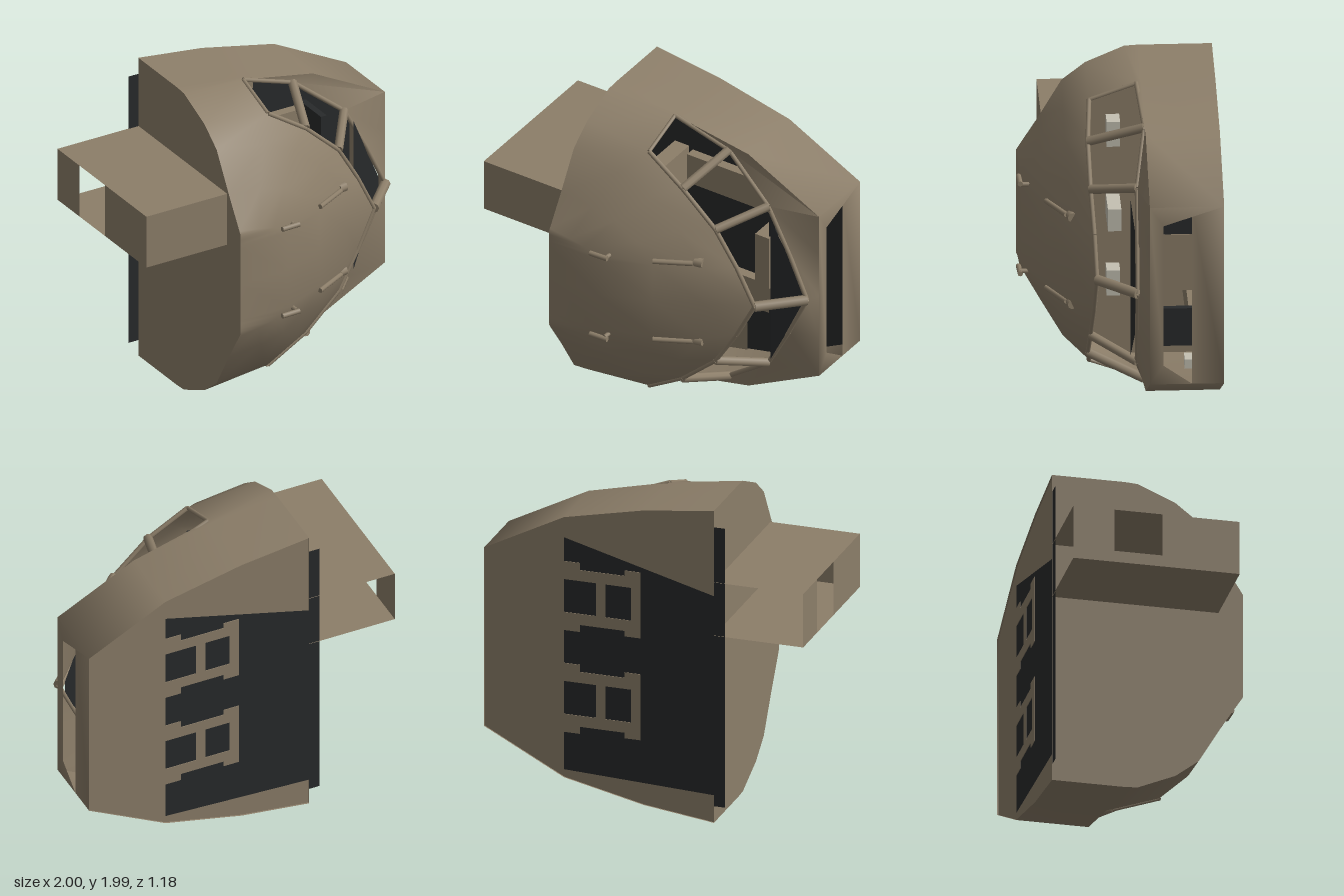
import * as THREE from 'three';
import { toCreasedNormals } from 'three/addons/utils/BufferGeometryUtils.js';

export function createModel() {
  const model = new THREE.Group();
  const material = (name, color) => {
    const m = new THREE.MeshStandardMaterial({ color, side: THREE.DoubleSide });
    m.name = name;
    return m;
  };
  const tan = material('tan paint', 0x8c7e69);
  const dark = material('charcoal', 0x282a2b);
  const pale = material('pale trim', 0xc4c0b2);

  const add = (name, geometry, mat, pos) => {
    const mesh = new THREE.Mesh(geometry, mat);
    mesh.name = name;
    if (pos) mesh.position.set(...pos);
    model.add(mesh);
    return mesh;
  };
  const box = (name, mat, x0, x1, y0, y1, z0, z1) =>
    add(name, new THREE.BoxGeometry(x1 - x0, y1 - y0, z1 - z0), mat,
      [(x0 + x1) / 2, (y0 + y1) / 2, (z0 + z1) / 2]);
  const surface = (points, index) => {
    const g = new THREE.BufferGeometry();
    g.setAttribute('position', new THREE.Float32BufferAttribute(points.flat(), 3));
    g.setIndex(index);
    g.computeVertexNormals();
    return g;
  };
  // flat polygon, triangulated in the plane of the two given axes
  const plate = (name, mat, points, a, b) => {
    const flat = points.map(p => new THREE.Vector2(p[a], p[b]));
    add(name, surface(points, THREE.ShapeUtils.triangulateShape(flat, []).flat()), mat);
  };
  const bar = (name, mat, from, to, r, sides = 8) => {
    const p = new THREE.Vector3(...from), q = new THREE.Vector3(...to);
    const d = q.clone().sub(p);
    const mesh = add(name, new THREE.CylinderGeometry(r, r, d.length(), sides), mat);
    mesh.position.copy(p).add(q).multiplyScalar(0.5);
    mesh.quaternion.setFromUnitVectors(new THREE.Vector3(0, 1, 0), d.normalize());
  };

  // half cross-sections [x, distance from the centre plane, z], nose to tail
  const aft = z => [[1, 0, z], [1, 0.3, z], [1, 0.57, z], [0.5, 0.83, z], [0, 0.94, z], [-0.44, 0.995, z]];
  const nose = [[-0.1, 0, 0.555], [-0.1, 0.25, 0.555], [-0.14, 0.28, 0.555],
    [-0.2, 0.31, 0.56], [-0.3, 0.33, 0.56], [-0.44, 0.35, 0.56]];
  const chin = nose.map(([, s]) => [-0.44, s * 0.95, 0.57]);
  const cheek = [[0.2, 0, 0.425], [0.2, 0.25, 0.425], [0.09, 0.38, 0.43],
    [-0.06, 0.48, 0.44], [-0.22, 0.52, 0.44], [-0.44, 0.54, 0.44]];
  const brow = [[0.47, 0, 0.29], [0.47, 0.25, 0.29], [0.3, 0.46, 0.3],
    [0.1, 0.63, 0.31], [-0.12, 0.73, 0.31], [-0.44, 0.78, 0.3]];
  const sill = [[0.74, 0, 0.15], [0.62, 0.24, 0.16], [0.48, 0.47, 0.175],
    [0.25, 0.68, 0.18], [0, 0.84, 0.16], [-0.44, 0.89, 0.16]];
  const lintel = [[0.96, 0, -0.08], [0.83, 0.28, -0.085], [0.68, 0.56, -0.09],
    [0.36, 0.81, -0.15], [0, 0.94, -0.12], [-0.44, 0.99, -0.07]];
  const at = ([x, s, z], m) => [x, 1 + s * m, z];
  const whole = half => [...half.slice(1).reverse().map(p => at(p, -1)), ...half.map(p => at(p, 1))];
  const rings = [chin, nose, cheek, brow, sill, lintel, aft(-0.15), aft(-0.59)].map(whole);

  // skin with an open window band and a hatch opening in the roof
  const index = [], n = 11;
  for (let j = 0; j < rings.length - 1; j++) {
    for (let k = 0; k < n - 1; k++) {
      const windowCell = j === 4 && k > 0 && k < 9;
      const roofCell = j === 6 && k > 2 && k < 7;
      if (windowCell || roofCell) continue;
      const a = j * n + k, b = a + 1, c = a + n, d = c + 1;
      index.push(a, c, b, b, c, d);
    }
  }
  const hatch = [[1, 0.55, -0.23], [1, 1.45, -0.23], [1, 1.57, -0.4], [1, 0.43, -0.4]];
  const roof = [6 * n + 3, 6 * n + 7, 7 * n + 7, 7 * n + 3];
  const first = rings.length * n;
  for (let i = 0; i < 4; i++) {
    const k = (i + 1) % 4;
    index.push(roof[i], first + i, roof[k], roof[k], first + i, first + k);
  }
  add('hullSkin', toCreasedNormals(surface([...rings.flat(), ...hatch], index), 1.2), tan);
  plate('hullUnderside', tan, [...rings.map(r => r[10]), ...rings.map(r => r[0]).reverse()], 2, 1);

  // window frames
  bar('windscreenPost', tan, at(sill[0], 1), at(lintel[0], 1), 0.032);
  for (const m of [-1, 1]) {
    for (const i of [2, 3]) bar('windowPost', tan, at(sill[i], m), at(lintel[i], m), 0.028);
    bar('windowPost', tan, at(sill[4], m), at(lintel[4], m), 0.012);
    for (let i = 0; i < 4; i++) {
      bar('windowSill', tan, at(sill[i], m), at(sill[i + 1], m), 0.014);
      bar('windowLintel', tan, at(lintel[i], m), at(lintel[i + 1], m), 0.014);
    }
  }
  // dark overhead panel behind the windscreen
  plate('overheadPanel', dark, [[0.72, 0.5, -0.05], [0.93, 0.96, -0.11], [0.93, 1.04, -0.11],
    [0.72, 1.5, -0.05]], 0, 1);

  // rear bulkhead: tan cap, dark outer panel, dark inner lining
  plate('rearCap', tan, rings[7].map(([x, y]) => [x, y, -0.58]).reverse(), 0, 1);
  plate('innerLining', dark, rings[7].map(([x, y]) => [x * 0.97, 1 + (y - 1) * 0.97, -0.5]), 0, 1);
  plate('rearPanel', dark, [[0.5, 0.22], [0.5, 1.7], [-0.44, 1.45], [-0.44, 1.89], [-0.51, 1.89],
    [-0.51, 0.11], [-0.44, 0.11], [-0.44, 0.18]].map(([x, y]) => [x, y, -0.586]), 0, 1);
  for (const y of [0.68, 1.33]) {
    // tan bracket plates on the rear panel
    for (const s of [-1, 1]) {
      box('bracketRail', tan, 0.02, 0.5, y + s * 0.14 - 0.035, y + s * 0.14 + 0.035, -0.59, -0.586);
      box('bracketFoot', tan, 0.4, 0.5, y + s * 0.17 - 0.05, y + s * 0.17 + 0.05, -0.59, -0.586);
      box('bracketEar', tan, 0.02, 0.12, y + s * 0.17 - 0.04, y + s * 0.17 + 0.04, -0.59, -0.586);
    }
    for (const x of [0.02, 0.24]) box('bracketCross', tan, x, x + 0.06, y - 0.13, y + 0.13, -0.59, -0.586);
  }

  // side duct, open at the rear and with a gap in its outer wall
  const wall = (name, pts, a, b) => plate(name, tan, pts, a, b);
  for (const y of [1.2, 1.54]) {
    wall('ductSide', [[-1, y, -0.59], [-1, y, 0.42], [-0.44, y, 0.42], [-0.44, y, -0.59]], 0, 2);
  }
  wall('ductFront', [[-1, 1.2, 0.42], [-0.44, 1.2, 0.42], [-0.44, 1.54, 0.42], [-1, 1.54, 0.42]], 0, 1);
  for (const [z0, z1] of [[-0.59, -0.34], [-0.05, 0.42]]) {
    wall('ductOuterWall', [[-1, 1.2, z0], [-1, 1.2, z1], [-1, 1.54, z1], [-1, 1.54, z0]], 2, 1);
  }

  // nose probes and small fairings
  for (const m of [-1, 1]) {
    const y = 1 + 0.28 * m;
    bar('noseProbe', tan, [-0.15, y + 0.01 * m, 0.57], [-0.03, y + 0.01 * m, 0.565], 0.016);
    bar('probeStem', tan, [-0.05, y, 0.5], [-0.05, y, 0.565], 0.014);
    bar('browProbe', tan, [0.2, y, 0.425], [0.41, y, 0.315], 0.016);
    bar('browFairing', tan, [0.41, y, 0.29], [0.46, y, 0.28], 0.03);
  }

  // cabin: seats, side linings, instrument panel and console
  for (const m of [-1, 1]) {
    const y = 1 + 0.36 * m;
    box('seatCushion', tan, -0.2, -0.1, y - 0.15, y + 0.15, -0.42, -0.16);
    box('seatBack', tan, -0.1, 0.6, y - 0.1, y + 0.1, -0.46, -0.4);
    box('headrest', dark, 0.6, 0.64, y - 0.12, y + 0.12, -0.46, -0.22);
    plate('sideLining', tan, [[-0.4, 0.65], [0.28, 0.65], [0.28, 0.84], [0, 0.9], [-0.4, 0.94]]
      .map(([x, s]) => [x, 1 + s * m, -0.47]), 0, 1);
    box('sidePocket', pale, 0.04, 0.14, 1 + m * 0.82 - 0.03, 1 + m * 0.82 + 0.03, -0.46, -0.4);
    box('sideConsole', pale, -0.42, -0.3, 1 + m * 0.48 - 0.08, 1 + m * 0.48 + 0.08, -0.04, 0.04);
  }
  box('hatchCrossbeam', tan, 0.5, 0.6, 0.86, 1.22, -0.45, -0.22);
  box('instrumentPanel', dark, -0.4, -0.03, 0.4, 1.6, 0.2, 0.24);
  box('centreConsole', pale, -0.42, -0.15, 0.92, 1.06, -0.04, 0.04);
  return model;
}
